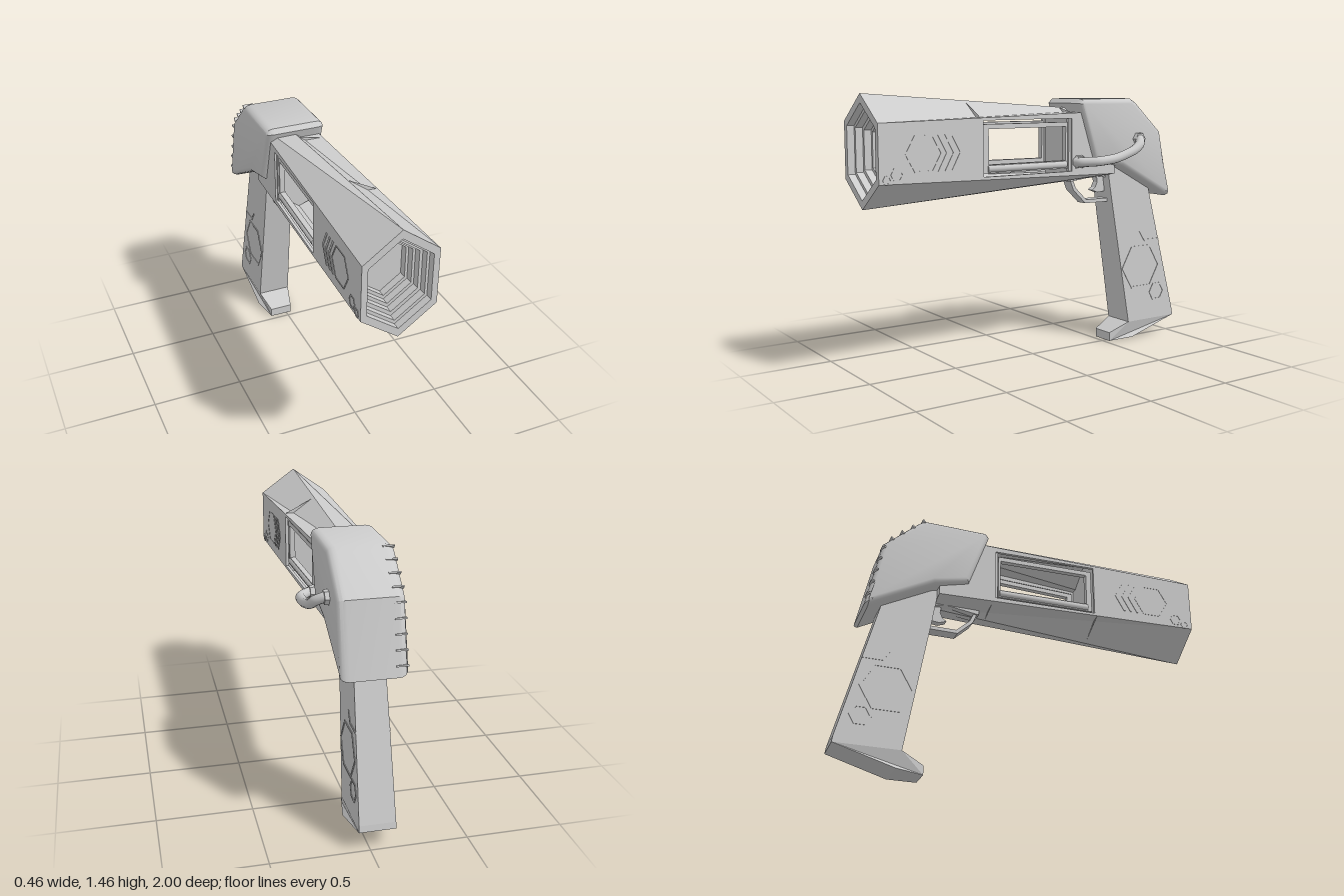
import * as THREE from 'three';
import { toCreasedNormals } from 'three/addons/utils/BufferGeometryUtils.js';

const CX = -0.035; // the body sits slightly off centre because of the side hose
const CY = 1.1775;
const grey = new THREE.MeshStandardMaterial({ color: 0xcccccc, side: THREE.DoubleSide });

// Barrel outline as it tapers towards the back
const halfWidth = z => 0.195 - 0.044 * (1 - z);
const sideTop = z => 1.325 + 0.024 * (1 - z);
const sideBottom = z => 1.03 - 0.016 * (1 - z);
const barrelSection = z => {
  const w = halfWidth(z), t = sideTop(z), b = sideBottom(z);
  return [[0, 1.465 - 0.068 * (1 - z), z], [-w, t, z], [-w, b, z],
    [0, 0.89 + 0.06 * (1 - z), z], [w, b, z], [w, t, z]];
};
const scaledSection = (s, z, from = 1) =>
  barrelSection(from).map(([x, y]) => [x * s, CY + (y - CY) * s, z]);

// Flat-faced skin between six-sided sections, leaving out the listed sides
function loft(sections, skip = []) {
  const pos = [];
  for (let i = 0; i + 1 < sections.length; i++) {
    for (let k = 0; k < 6; k++) {
      if (skip.includes(k)) continue;
      const n = (k + 1) % 6, A = sections[i], B = sections[i + 1];
      pos.push(...A[k], ...B[k], ...B[n], ...A[k], ...B[n], ...A[n]);
    }
  }
  const g = new THREE.BufferGeometry();
  g.setAttribute('position', new THREE.Float32BufferAttribute(pos, 3));
  g.computeVertexNormals();
  return g;
}

const toPath = pts => pts.map(p => new THREE.Vector2(p[0], p[1]));

// Side profile given as [z, y], extruded across x and centred on x = 0
function slab(pts, width, hole, bevel) {
  const shape = new THREE.Shape(toPath(pts));
  if (hole) shape.holes.push(new THREE.Path(toPath(hole)));
  const t = bevel ? bevel.bevelThickness : 0;
  const g = new THREE.ExtrudeGeometry(shape, { depth: width - 2 * t, bevelEnabled: !!bevel, ...bevel });
  g.translate(0, 0, -width / 2 + t);
  g.rotateY(-Math.PI / 2);
  return g;
}

// Move each vertex by a rule
function warp(g, rule) {
  const p = g.attributes.position;
  for (let i = 0; i < p.count; i++) p.setX(i, rule(p.getX(i), p.getY(i), p.getZ(i)));
  g.computeVertexNormals();
  return g;
}

const rect = (z0, z1, y0, y1) => [[z0, y0], [z1, y0], [z1, y1], [z0, y1]];
const hexagon = (z, y, r) => Array.from({ length: 6 }, (_, i) =>
  [z + r * Math.cos(i * Math.PI / 3), y + r * Math.sin(i * Math.PI / 3)]);

export function createModel() {
  const model = new THREE.Group();
  const body = new THREE.Group();
  body.name = 'body';
  body.position.x = CX;
  model.add(body);
  const add = (name, geometry, parent = body) => {
    const m = new THREE.Mesh(geometry, grey);
    m.name = name;
    parent.add(m);
    return m;
  };

  // Barrel: sloped top and bottom faces, side panels are added below
  add('barrelShell', loft([barrelSection(1), barrelSection(-0.5)], [1, 4]));
  add('barrelBack', loft([barrelSection(-0.5), scaledSection(0, -0.5)]));

  // Stepped muzzle recess
  const steps = [1, 0.84, 0.77, 0.69, 0.62, 0.55];
  const recess = [];
  steps.forEach((s, i) => {
    if (i) recess.push(scaledSection(s, 1 - 0.04 * (i - 1)));
    recess.push(scaledSection(s, 1 - 0.04 * i));
  });
  recess.push(scaledSection(0, 0.8));
  add('muzzleRecess', loft(recess));

  // Walls closing the window bay
  for (const z of [0.41, -0.2]) {
    add('bayWall', loft([scaledSection(0.99, z, z), scaledSection(0, z)]));
  }

  // Details on both flanks
  for (const s of [1, -1]) {
    const onBarrel = inset => (x, y, z) => x + s * (halfWidth(z) - inset);
    add('sidePanel', warp(slab(
      [[1, sideBottom(1)], [-0.5, sideBottom(-0.5)], [-0.5, sideTop(-0.5)], [1, sideTop(1)]],
      0.016, rect(0.395, -0.187, 1.035, 1.325)), onBarrel(0.008)));
    add('windowFrame', warp(slab(rect(0.385, -0.166, 1.05, 1.305), 0.03,
      rect(0.355, -0.154, 1.095, 1.28)), onBarrel(0.03)));
    add('windowPost', warp(slab(rect(-0.172, -0.187, 1.035, 1.325), 0.02), onBarrel(0.02)));
    const rail = new THREE.CylinderGeometry(0.02, 0.02, 0.52, 12);
    rail.rotateX(Math.PI / 2).translate(0, 1.074, 0.1);
    const railMesh = add('windowRail', warp(rail, onBarrel(0.025)));
    railMesh.geometry = toCreasedNormals(railMesh.geometry, 0.7);

    // Barrel ornaments: hexagons and three chevrons
    for (const [z, y, r] of [[0.75, 1.17, 0.105], [0.9, 1.075, 0.036], [0.955, 1.05, 0.025]]) {
      add('barrelHexagon', warp(slab(hexagon(z, y, r), 0.004, hexagon(z, y, r - 0.008)), onBarrel(0)));
    }
    for (let i = 0; i < 3; i++) {
      const z = 0.62 - i * 0.04;
      add('chevron', warp(slab([[z + 0.05, 1.26], [z, 1.17], [z + 0.05, 1.08],
        [z + 0.035, 1.08], [z - 0.015, 1.17], [z + 0.035, 1.26]], 0.005), onBarrel(0)));
    }

    // Grip ornaments
    const onGrip = (x, y) => x + s * (0.096 - 0.019 * y);
    for (const [z, y, r] of [[-0.745, 0.435, 0.145], [-0.87, 0.27, 0.06]]) {
      add('gripHexagon', warp(slab(hexagon(z, y, r), 0.006, hexagon(z, y, r - 0.013)), onGrip));
    }
    add('gripPartHexagon', warp(slab([[-0.732, 0.645], [-0.772, 0.584], [-0.882, 0.584],
      [-0.879, 0.596], [-0.779, 0.596], [-0.742, 0.645]], 0.006), onGrip));
  }

  // Grip, slightly wider at the base with a tapered toe
  add('grip', warp(slab([[-0.49, 1.06], [-0.525, 0.84], [-0.65, 0.11], [-0.53, 0.055], [-0.53, 0.005],
    [-0.68, 0.015], [-1, 0.11], [-0.995, 0.145], [-0.77, 1.02]], 2),
  (x, y, z) => x * (z > -0.6 && y < 0.2 ? 0.065 : 0.096 - 0.019 * y)));

  // Rounded rear housing
  const housing = slab([[-0.228, 1.405], [-0.25, 1.43], [-0.6, 1.43], [-0.635, 1.41], [-0.82, 1.24],
    [-0.9, 0.865], [-0.88, 0.857], [-0.53, 1.045], [-0.34, 1.09]], 0.33, null,
  { bevelThickness: 0.045, bevelSize: 0.03, bevelOffset: -0.03, bevelSegments: 4 });
  add('rearHousing', toCreasedNormals(housing, 0.6));

  // Row of small ribs down the right rear edge of the housing
  const ribLine = new THREE.CatmullRomCurve3([[-0.61, 1.418], [-0.72, 1.325], [-0.815, 1.235],
    [-0.85, 1.08], [-0.885, 0.92]].map(([z, y]) => new THREE.Vector3(-0.135, y, z)), false, 'catmullrom', 0.1);
  for (let i = 0; i < 9; i++) {
    const rib = add('housingRib', new THREE.BoxGeometry(0.06, 0.02, 0.008));
    rib.position.copy(ribLine.getPointAt(i / 8));
    const t = ribLine.getTangentAt(i / 8);
    rib.rotation.set(Math.atan2(-t.y, t.z), 0, 0);
  }

  // Trigger and guard
  add('triggerGuard', slab([[-0.255, 0.975], [-0.28, 0.915], [-0.365, 0.835], [-0.535, 0.835], [-0.535, 0.855],
    [-0.372, 0.855], [-0.297, 0.925], [-0.275, 0.975]], 0.07));
  add('triggerMount', slab([[-0.25, 1.02], [-0.25, 0.965], [-0.44, 0.99], [-0.52, 0.975], [-0.52, 1.03]], 0.09));
  add('trigger', slab([[-0.455, 1.0], [-0.462, 0.95], [-0.447, 0.92], [-0.425, 0.905], [-0.465, 0.89],
    [-0.515, 0.895], [-0.51, 1.0]], 0.04));

  // Side hose with a collar at each end
  const hose = new THREE.CatmullRomCurve3([[0.1, 1.085, -0.215], [0.145, 1.085, -0.235], [0.195, 1.09, -0.31],
    [0.198, 1.103, -0.43], [0.197, 1.14, -0.55], [0.185, 1.175, -0.61], [0.145, 1.2, -0.64], [0.1, 1.205, -0.65]]
    .map(p => new THREE.Vector3(...p)), false, 'catmullrom', 0.4);
  add('sideHose', new THREE.TubeGeometry(hose, 48, 0.026, 12), model);
  for (const [x, y, z] of [[0.115, 1.085, -0.235], [0.135, 1.2, -0.643]]) {
    const collar = new THREE.CylinderGeometry(0.036, 0.042, 0.035, 6).toNonIndexed();
    collar.rotateZ(-Math.PI / 2).translate(x, y, z);
    collar.computeVertexNormals();
    add('hoseCollar', collar, model);
  }
  return model;
}
